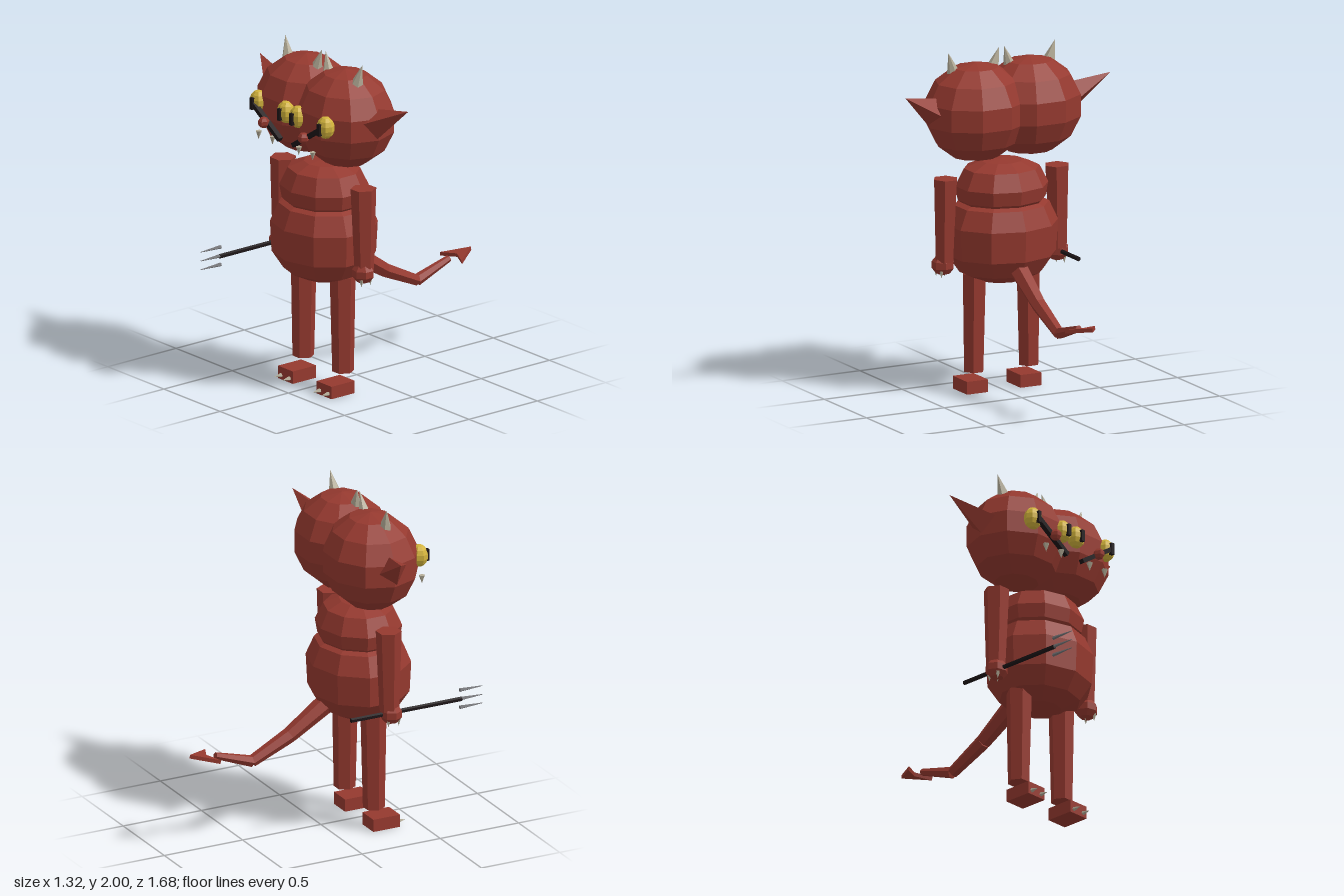
import * as THREE from 'three';

const mat = (name, color) => {
  const m = new THREE.MeshStandardMaterial({ color, flatShading: true });
  m.name = name;
  return m;
};

export function createModel() {
  const red = mat('red skin', 0x95392f);
  const yellow = mat('yellow eye', 0xd2b33c);
  const black = mat('black', 0x1c1517);
  const bone = mat('bone', 0xb5ad98);
  const steel = mat('steel', 0x77777a);
  const model = new THREE.Group();
  const V = (x, y, z) => new THREE.Vector3(x, y, z);

  const add = (name, geo, material, x = 0, y = 0, z = 0) => {
    const mesh = new THREE.Mesh(geo, material);
    mesh.name = name;
    mesh.position.set(x, y, z);
    model.add(mesh);
    return mesh;
  };

  // Tapered prism or spike from a to b
  const rod = (name, a, b, ra, rb, sides, material, turn = 0) => {
    const geo = new THREE.CylinderGeometry(rb, ra, a.distanceTo(b), sides);
    geo.rotateY(turn);
    const mesh = add(name, geo, material);
    mesh.position.copy(a).lerp(b, 0.5);
    mesh.quaternion.setFromUnitVectors(V(0, 1, 0), b.clone().sub(a).normalize());
    return mesh;
  };

  const ball = (name, x, y, z, rx, ry, rz, w, h, material) => {
    const mesh = add(name, new THREE.SphereGeometry(1, w, h), material, x, y, z);
    mesh.scale.set(rx, ry, rz);
    return mesh;
  };

  // Belly and chest
  const lathe = (name, profile) => {
    const geo = new THREE.LatheGeometry(profile.map(([r, y]) => new THREE.Vector2(r, y)), 10);
    add(name, geo, red, 0, 0, 0.24).scale.set(1.03, 1, 0.91);
  };
  lathe('belly', [[0, 0.63], [0.13, 0.65], [0.24, 0.7], [0.31, 0.8], [0.32, 0.98], [0.27, 1.09], [0.12, 1.16], [0, 1.18]]);
  lathe('chest', [[0, 1.0], [0.2, 1.07], [0.25, 1.12], [0.265, 1.2], [0.215, 1.3], [0.12, 1.34], [0, 1.35]]);

  for (const s of [-1, 1]) {
    const side = s > 0 ? 'left' : 'right';

    // Head with horns, ear and face
    ball(side + 'Head', s * 0.173, 1.645, 0.225, 0.308, 0.288, 0.275, 10, 7, red);
    rod(side + 'OuterHorn', V(s * 0.3, 1.86, 0.25), V(s * 0.343, 2, 0.24), 0.043, 0, 6, bone);
    rod(side + 'InnerHorn', V(s * 0.062, 1.86, 0.25), V(s * 0.016, 2, 0.24), 0.043, 0, 6, bone);
    rod(side + 'Ear', V(s * 0.43, 1.67, 0.225), V(s * 0.66, 1.79, 0.165), 0.09, 0, 4, red);
    for (const x of [0.298, 0.055]) {
      ball(side + 'Eye', s * x, 1.667, 0.472, 0.056, 0.066, 0.05, 8, 7, yellow);
      add(side + 'Pupil', new THREE.BoxGeometry(0.022, 0.07, 0.03), black, s * x, 1.662, 0.515);
    }
    const mouth = add(side + 'Mouth', new THREE.BoxGeometry(0.285, 0.026, 0.03), black, s * 0.18, 1.585, 0.51);
    mouth.rotation.z = s * 0.575;
    ball(side + 'Nose', s * 0.177, 1.585, 0.535, 0.034, 0.034, 0.034, 6, 5, red);
    for (const x of [0.24, 0.117])
      rod(side + 'Tooth', V(s * x, 1.515, 0.52), V(s * x, 1.465, 0.52), 0.019, 0, 5, bone);

    // Arm, hand and claws
    rod(side + 'Arm', V(s * 0.365, 0.79, 0.245), V(s * 0.358, 1.27, 0.245), 0.056, 0.074, 6, red, Math.PI / 6);
    ball(side + 'Hand', s * 0.368, 0.77, 0.255, 0.07, 0.063, 0.065, 7, 5, red);
    for (const [x, z] of [[0.395, 0.225], [0.36, 0.255], [0.395, 0.29]])
      rod(side + 'HandClaw', V(s * x, 0.74, z), V(s * x, 0.697, z), 0.014, 0, 5, bone);

    // Leg, foot and toe claws
    rod(side + 'Leg', V(s * 0.177, 0.13, 0.245), V(s * 0.173, 0.7, 0.245), 0.062, 0.074, 6, red, Math.PI / 6);
    add(side + 'Foot', new THREE.BoxGeometry(0.133, 0.074, 0.17), red, s * 0.172, 0.042, 0.295);
    for (const x of [0.21, 0.135])
      rod(side + 'ToeClaw', V(s * x, 0.03, 0.37), V(s * x, 0.03, 0.43), 0.016, 0, 5, bone);
  }

  // Tail in tapering sections, ending in an arrowhead
  const tail = [V(0, 0.76, 0.06), V(0, 0.59, -0.2), V(0, 0.475, -0.44), V(0, 0.553, -0.675)];
  const radii = [0.06, 0.045, 0.034, 0.02];
  for (let i = 0; i < 3; i++)
    rod('tailSection', tail[i], tail[i + 1], radii[i], radii[i + 1], 6, red, Math.PI / 6);
  const arrow = new THREE.Shape([[0, 0.15], [-0.097, 0], [0, 0.045], [0.097, 0]].map(([x, y]) => new THREE.Vector2(x, y)));
  const arrowGeo = new THREE.ExtrudeGeometry(arrow, { depth: 0.022, bevelEnabled: false });
  arrowGeo.rotateX(-Math.PI / 2);
  add('tailTip', arrowGeo, red, 0, 0.54, -0.692).rotation.x = 0.18;

  // Fork held in the right hand
  rod('forkShaft', V(-0.365, 0.77, -0.0), V(-0.365, 0.77, 0.705), 0.014, 0.014, 6, black);
  for (const y of [0.72, 0.772, 0.825])
    rod('forkTine', V(-0.365, y, 0.695), V(-0.365, y, 0.84), 0.011, 0.002, 5, steel);

  return model;
}
